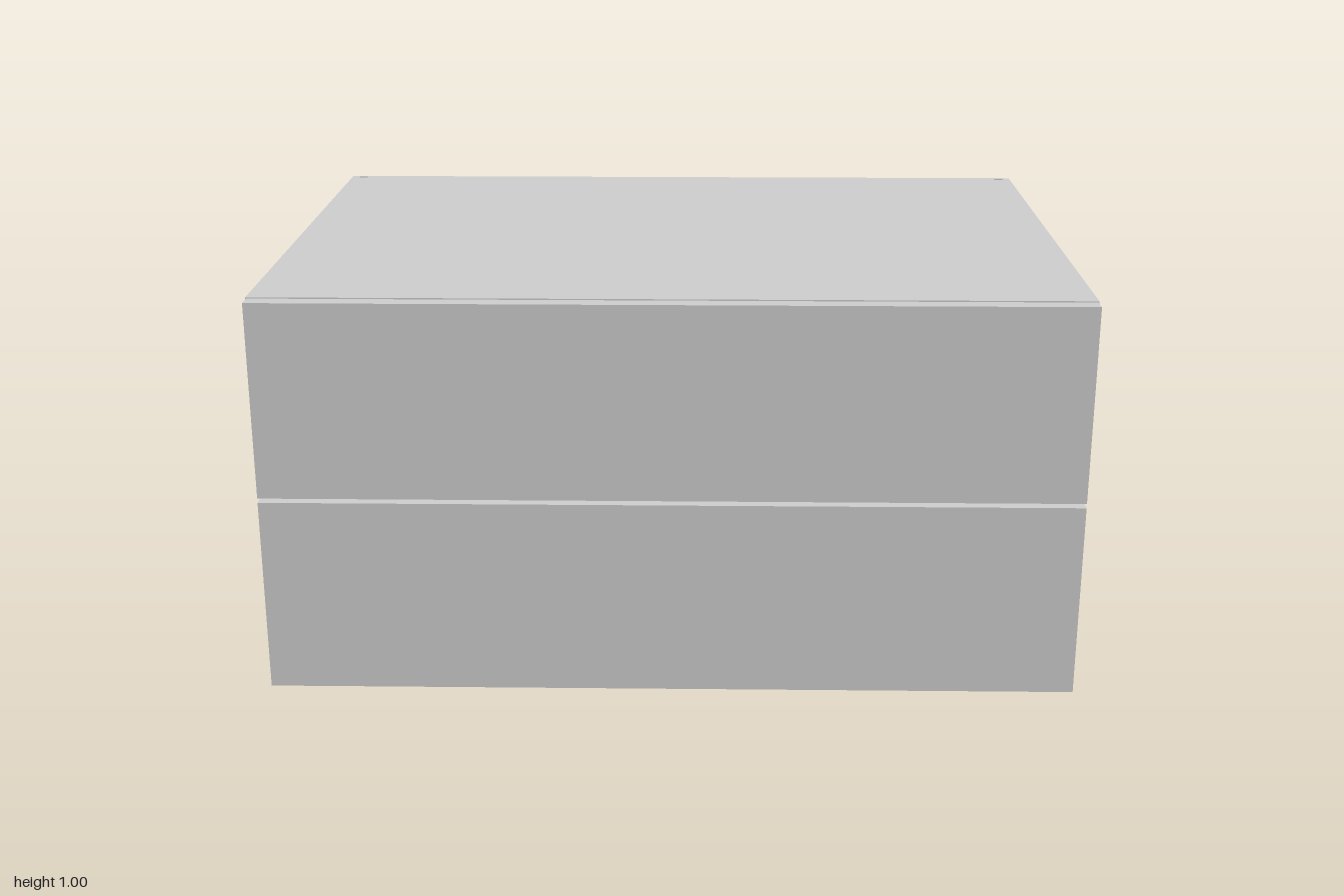
import * as THREE from 'three';

const material = new THREE.MeshStandardMaterial({ color: 0xcccccc });

// Box given by its min and max corners
function box(name, [x0, y0, z0], [x1, y1, z1]) {
  const geometry = new THREE.BoxGeometry(x1 - x0, y1 - y0, z1 - z0);
  const mesh = new THREE.Mesh(geometry, material);
  mesh.name = name;
  mesh.position.set((x0 + x1) / 2, (y0 + y1) / 2, (z0 + z1) / 2);
  return mesh;
}

function rectangle(path, x0, y0, x1, y1) {
  path.moveTo(x0, y0).lineTo(x1, y0).lineTo(x1, y1).lineTo(x0, y1).closePath();
  return path;
}

const T = 0.02; // panel thickness
const FRONT = 0.685, BACK = -0.715; // carcass depth range

// Horizontal panel with a small slot in each back corner
function slottedPanel(name, y) {
  const shape = rectangle(new THREE.Shape(), -1, -FRONT, 1, -BACK);
  for (const x of [-0.966, 0.966]) {
    shape.holes.push(rectangle(new THREE.Path(), x - 0.012, 0.69, x + 0.012, 0.703));
  }
  const geometry = new THREE.ExtrudeGeometry(shape, { depth: T, bevelEnabled: false });
  geometry.rotateX(-Math.PI / 2);
  const mesh = new THREE.Mesh(geometry, material);
  mesh.name = name;
  mesh.position.y = y;
  return mesh;
}

// Drawer with an overlay front and an open-topped box behind it
function drawer(name, y0, y1) {
  const group = new THREE.Group();
  group.name = name;
  const low = y0 + 0.05, high = y1 - 0.08, w = 0.93, back = -0.66;
  group.add(
    box('drawerFront', [-0.998, y0, FRONT], [0.998, y1, 0.725]),
    box('drawerBottom', [-w, low, back], [w, low + T, FRONT]),
    box('drawerBack', [-w + T, low + T, back], [w - T, high, back + T]),
    box('drawerRightSide', [-w, low + T, back], [-w + T, high, FRONT]),
    box('drawerLeftSide', [w - T, low + T, back], [w, high, FRONT]),
  );
  return group;
}

export function createModel() {
  const model = new THREE.Group();
  model.name = 'drawerCabinet';

  // Carcass
  model.add(
    slottedPanel('bottomPanel', 0),
    slottedPanel('topPanel', 1 - T),
    box('rightSide', [-1, T, BACK], [-1 + T, 1 - T, FRONT]),
    box('leftSide', [1 - T, T, BACK], [1, 1 - T, FRONT]),
    box('backPanel', [-0.993, 0.008, -0.725], [0.993, 0.992, BACK]),
    box('middleRail', [-1 + T, 0.48, 0.6], [1 - T, 0.525, FRONT]),
  );

  // Two drawers with a narrow gap between their fronts
  model.add(drawer('lowerDrawer', 0.006, 0.497), drawer('upperDrawer', 0.508, 0.997));
  return model;
}
